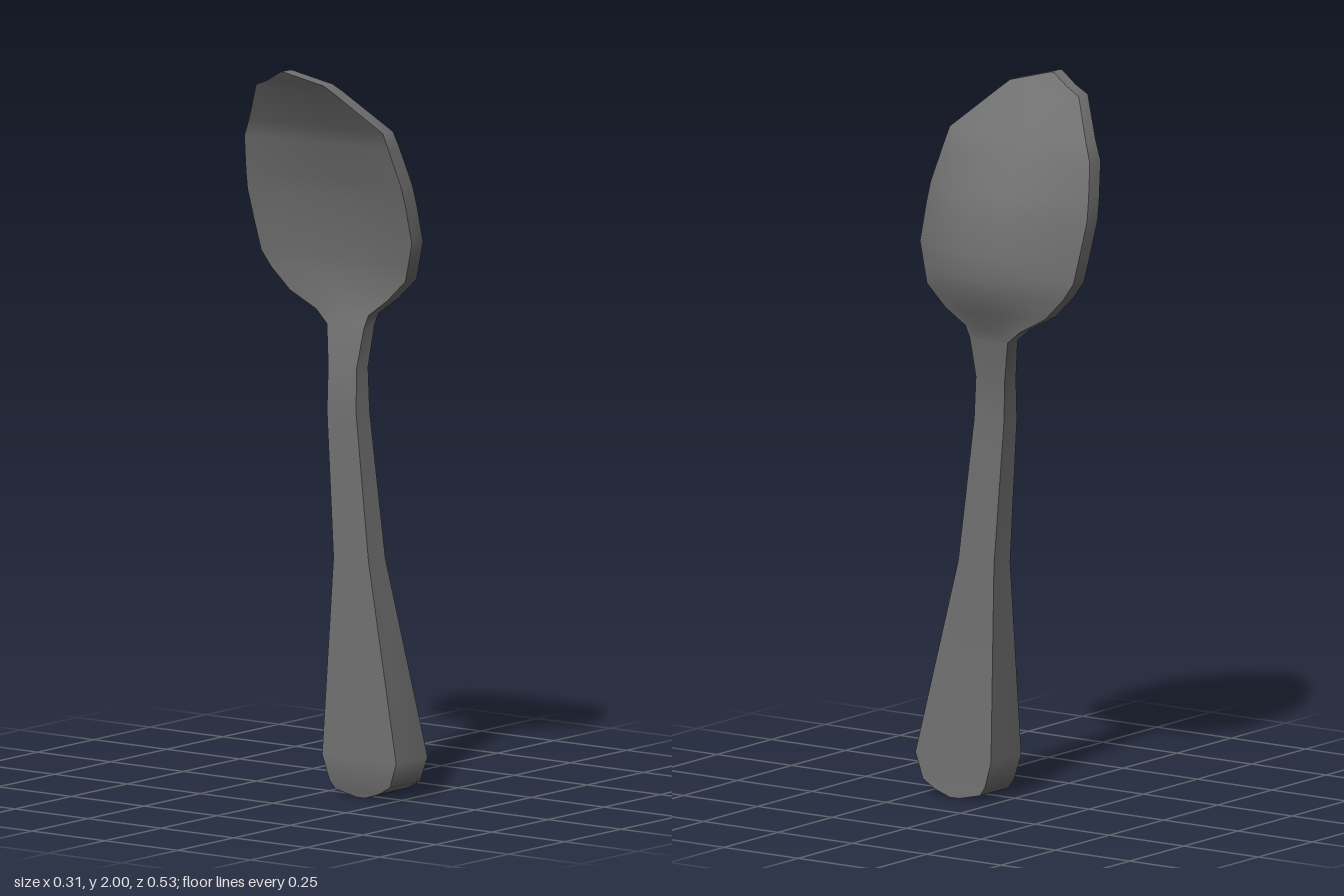
import * as THREE from 'three';

// Cross-sections from tip to handle end:
// [y, z min, z max, x of inner face, edge thickness, bulge of the bowl]
const SECTIONS = [
  [2.0, -0.045, -0.035, -0.155, 0.04, 0],
  [1.97, -0.1, 0.08, -0.135, 0.04, 0],
  [1.95, -0.15, 0.1, -0.12, 0.042, 0.004],
  [1.84, -0.22, 0.214, -0.055, 0.045, 0.03],
  [1.79, -0.246, 0.222, -0.04, 0.05, 0.048],
  [1.69, -0.257, 0.246, -0.018, 0.05, 0.075],
  [1.635, -0.262, 0.25, -0.004, 0.05, 0.085],
  [1.53, -0.249, 0.257, 0.015, 0.05, 0.085],
  [1.465, -0.24, 0.236, 0.027, 0.05, 0.07],
  [1.42, -0.215, 0.22, 0.037, 0.05, 0.055],
  [1.36, -0.16, 0.156, 0.045, 0.048, 0.02],
  [1.315, -0.08, 0.1, 0.045, 0.045, 0],
  [1.28, -0.035, 0.092, 0.035, 0.046, 0],
  [1.17, -0.01, 0.087, 0.008, 0.052, 0],
  [1.05, 0, 0.1, -0.01, 0.06, 0],
  [0.65, 0.03, 0.15, -0.02, 0.075, 0],
  [0.11, 0.018, 0.272, -0.055, 0.14, 0],
  [0.04, 0.035, 0.243, -0.045, 0.135, 0],
  [0.016, 0.05, 0.2, -0.038, 0.13, 0],
  [0, 0.12, 0.15, -0.035, 0.128, 0],
];
const COLUMNS = 10;
const NECK = 12; // section where bowl and handle meet

// Point on the inner (back = false) or outer surface; u runs -1..1 across
function surfacePoint([y, z0, z1, x, thickness, bulge], u, back) {
  const z = (z0 + z1) / 2 + (u * (z1 - z0)) / 2;
  const roll = y > 1.32 ? 0.075 * z : 0;
  const dome = bulge * (1 - u * u);
  return [x + roll + (back ? thickness + dome : 0.35 * dome), y, z];
}

// Smooth skin through a grid of points
function skin(rows, flip) {
  const width = rows[0].length;
  const index = [];
  for (let i = 0; i < rows.length - 1; i++) {
    for (let j = 0; j < width - 1; j++) {
      const a = i * width + j, b = a + width, c = a + 1, d = b + 1;
      if (flip) index.push(a, c, b, c, d, b);
      else index.push(a, b, c, c, b, d);
    }
  }
  const geometry = new THREE.BufferGeometry();
  geometry.setAttribute('position', new THREE.Float32BufferAttribute(rows.flat(2), 3));
  geometry.setIndex(index);
  geometry.computeVertexNormals();
  return geometry;
}

function face(sections, back) {
  const rows = sections.map((s) =>
    Array.from({ length: COLUMNS + 1 }, (_, j) => surfacePoint(s, (2 * j) / COLUMNS - 1, back)));
  return skin(rows, back);
}

// Edge wall following the +z side down and the -z side back up
function wall(sections, closeTop) {
  const loop = sections.map((s) => [s, 1]);
  loop.push(...sections.map((s) => [s, -1]).reverse());
  if (closeTop) loop.push(loop[0]);
  return loop.map(([s, u]) => [surfacePoint(s, u, false), surfacePoint(s, u, true)]);
}

export function createModel() {
  const metal = new THREE.MeshStandardMaterial({ color: 0x707070 });
  metal.name = 'dark metal';
  const model = new THREE.Group();
  model.name = 'spoon';
  const add = (name, geometry) => {
    const mesh = new THREE.Mesh(geometry, metal);
    mesh.name = name;
    model.add(mesh);
  };

  // Bowl and handle faces
  const bowl = SECTIONS.slice(0, NECK + 1);
  const handle = SECTIONS.slice(NECK);
  add('bowlInside', face(bowl, false));
  add('bowlOutside', face(bowl, true));
  add('handleInnerFace', face(handle, false));
  add('handleOuterFace', face(handle, true));

  // One continuous edge around the whole outline
  add('edge', skin(wall(SECTIONS, true), false));
  return model;
}
